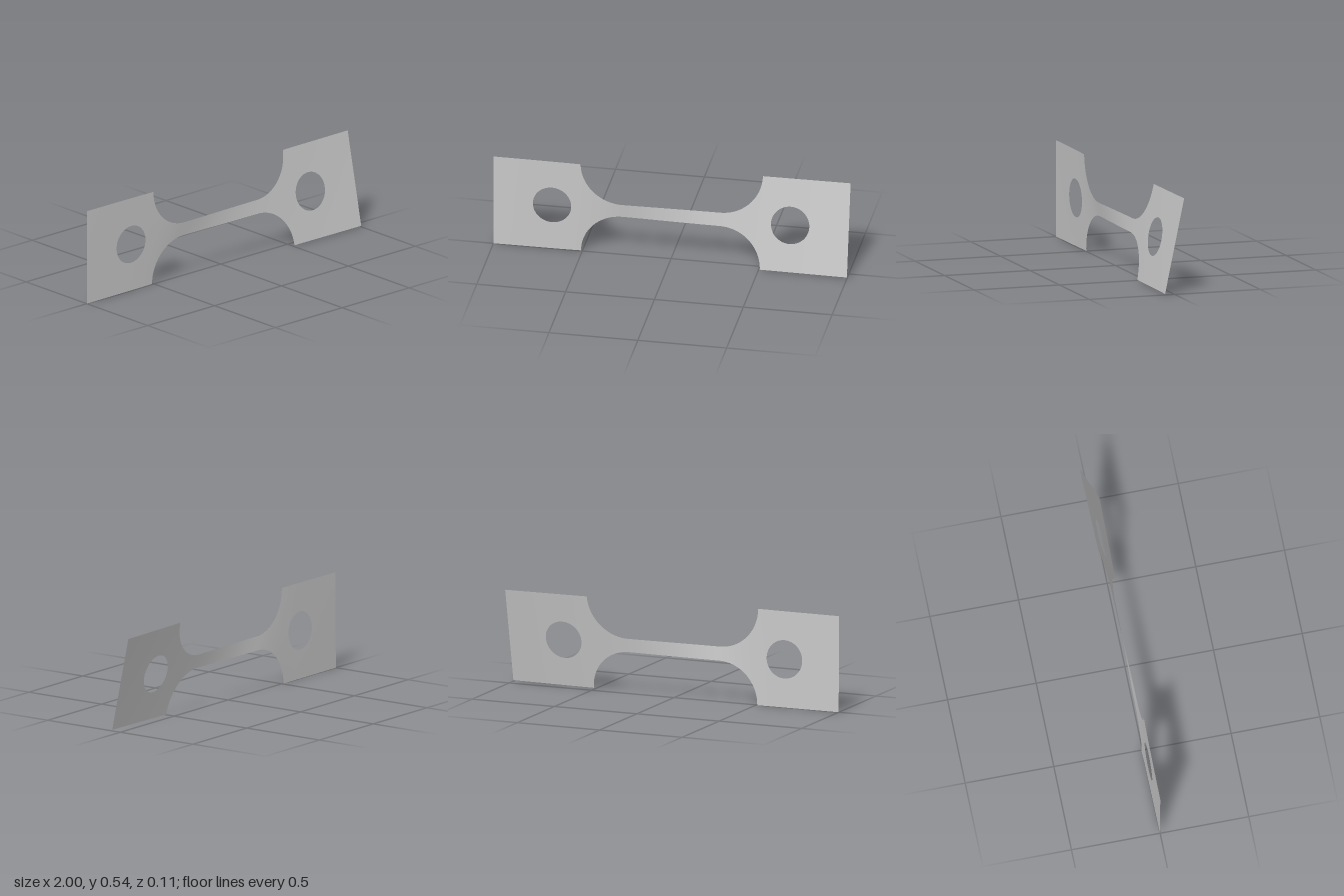
import * as THREE from 'three';
import { mergeGeometries, mergeVertices } from 'three/addons/utils/BufferGeometryUtils.js';

const MID_Y = 0.271, TAB_HALF = 0.271, NECK_HALF = 0.039;
const TAB_IN = 0.508, FILLET = TAB_HALF - NECK_HALF, HOLE_X = 0.67, HOLE_R = 0.108;

// twist about the long axis: [x, angle]
const TWIST = [[-1, -0.004], [-0.65, -0.012], [-0.5, -0.024], [-0.4, -0.052], [-0.25, -0.1],
  [0, 0.03], [0.25, 0.15], [0.5, 0.178], [0.7, 0.19], [1, 0.207]];

function twistAt(x) {
  let i = 0;
  while (i < TWIST.length - 2 && x > TWIST[i + 1][0]) i++;
  const [x0, a0] = TWIST[i], [x1, a1] = TWIST[i + 1];
  const slope = (k) => {
    const p = TWIST[Math.max(k - 1, 0)], q = TWIST[Math.min(k + 1, TWIST.length - 1)];
    return (q[1] - p[1]) / (q[0] - p[0]);
  };
  const w = x1 - x0, t = (x - x0) / w, t2 = t * t, t3 = t2 * t;
  return a0 * (2 * t3 - 3 * t2 + 1) + a1 * (3 * t2 - 2 * t3)
    + w * (slope(i) * (t3 - 2 * t2 + t) + slope(i + 1) * (t3 - t2));
}

// half height of the outline, and of the hole, at distance d from the middle
function outerHalf(d) {
  if (d >= TAB_IN) return TAB_HALF;
  const e = d - (TAB_IN - FILLET);
  return e <= 0 ? NECK_HALF : TAB_HALF - Math.sqrt(Math.max(0, FILLET * FILLET - e * e));
}
function innerHalf(d) {
  return Math.sqrt(Math.max(0, HOLE_R * HOLE_R - (d - HOLE_X) ** 2));
}

// column positions, closer together round the hole and fillets
function columns() {
  const half = [];
  for (let i = 1; i <= 12; i++) half.push((TAB_IN - FILLET) * i / 12);
  for (let i = 1; i <= 24; i++) half.push(TAB_IN - FILLET + FILLET * Math.sin(i / 24 * Math.PI / 2));
  half.push((TAB_IN + HOLE_X - HOLE_R) / 2);
  for (let i = 0; i <= 32; i++) half.push(HOLE_X - HOLE_R * Math.cos(i / 32 * Math.PI));
  for (let i = 1; i <= 6; i++) half.push(HOLE_X + HOLE_R + (1 - HOLE_X - HOLE_R) * i / 6);
  return [...half.map((d) => -d).reverse(), 0, ...half];
}

// upper (side = 1) or lower (side = -1) half of the sheet
function halfSheet(xs, side) {
  const geo = new THREE.PlaneGeometry(1, 1, xs.length - 1, 8);
  const pos = geo.attributes.position;
  for (let i = 0; i < pos.count; i++) {
    const x = xs[i % xs.length], d = Math.abs(x);
    const v = pos.getY(i) + 0.5, t = side > 0 ? v : 1 - v;
    const h = side * THREE.MathUtils.lerp(innerHalf(d), outerHalf(d), t);
    const a = twistAt(x);
    pos.setXYZ(i, x, MID_Y + h * Math.cos(a), -h * Math.sin(a));
  }
  geo.deleteAttribute('uv');
  geo.deleteAttribute('normal');
  return geo;
}

export function createModel() {
  const steel = new THREE.MeshStandardMaterial({ color: 0xc8c8c8, side: THREE.DoubleSide });
  steel.name = 'lightGreySteel';

  const xs = columns();
  const geo = mergeVertices(mergeGeometries([halfSheet(xs, 1), halfSheet(xs, -1)]), 1e-5);
  geo.computeVertexNormals();

  const sheet = new THREE.Mesh(geo, steel);
  sheet.name = 'twistedTestStrip';
  const group = new THREE.Group();
  group.name = 'tensileSpecimen';
  group.add(sheet);
  return group;
}
